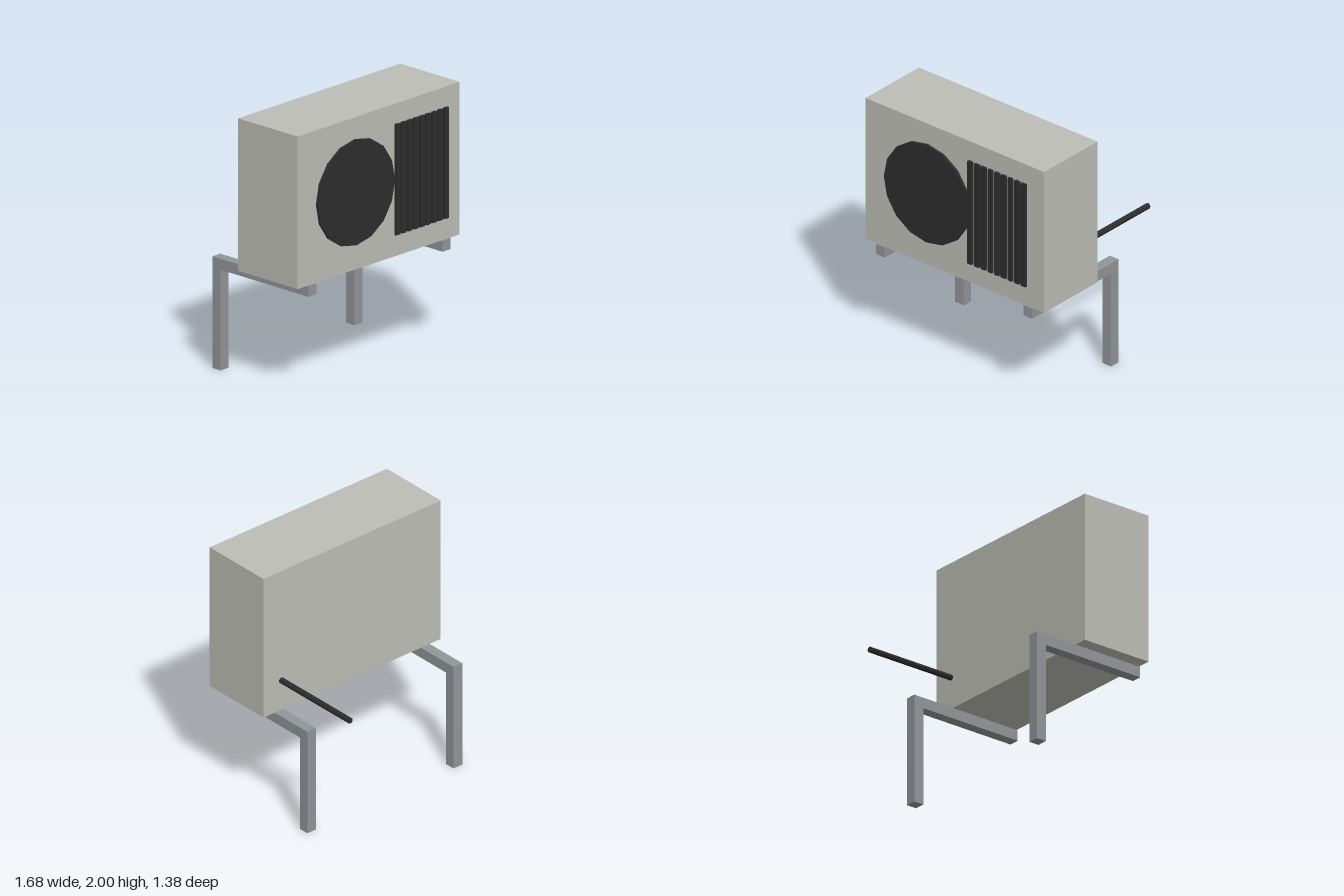
import * as THREE from 'three';

const mat = (name, color) => {
  const m = new THREE.MeshStandardMaterial({ color, flatShading: true });
  m.name = name;
  return m;
};

export function createModel() {
  const model = new THREE.Group();
  model.name = 'outdoorUnit';
  const casing = mat('casing grey', 0xbebeb7);
  const steel = mat('bracket steel', 0x919699);
  const black = mat('black', 0x2d2d2d);

  const add = (name, geometry, material, x, y, z, rx = 0) => {
    const mesh = new THREE.Mesh(geometry, material);
    mesh.name = name;
    mesh.position.set(x, y, z);
    mesh.rotation.x = rx;
    model.add(mesh);
  };
  // box given by its x centre and width, and its y and z ranges
  const box = (name, material, x, w, y0, y1, z0, z1) =>
    add(name, new THREE.BoxGeometry(w, y1 - y0, z1 - z0), material, x, (y0 + y1) / 2, (z0 + z1) / 2);

  // casing
  box('casing', casing, 0, 1.682, 0.845, 2, 0.066, 0.655);

  // round fan cover, 16-sided
  add('fanCover', new THREE.CylinderGeometry(0.4, 0.4, 0.021, 16), black, -0.252, 1.436, 0.6645, Math.PI / 2);

  // vertical grille slats
  for (let i = 0; i < 9; i++)
    box('grilleSlat', black, 0.168 + i * 0.063, 0.042, 1.015, 1.855, 0.67, 0.691);

  // L-shaped wall brackets
  for (const side of [-1, 1]) {
    box('bracketArm', steel, side * 0.694, 0.083, 0.762, 0.845, -0.292, 0.664);
    box('bracketLeg', steel, side * 0.694, 0.083, 0, 0.762, -0.292, -0.209);
  }

  // pipe leaving the back
  add('pipe', new THREE.CylinderGeometry(0.022, 0.022, 0.761, 8), black, 0.673, 1.092, -0.3105, Math.PI / 2);

  return model;
}
